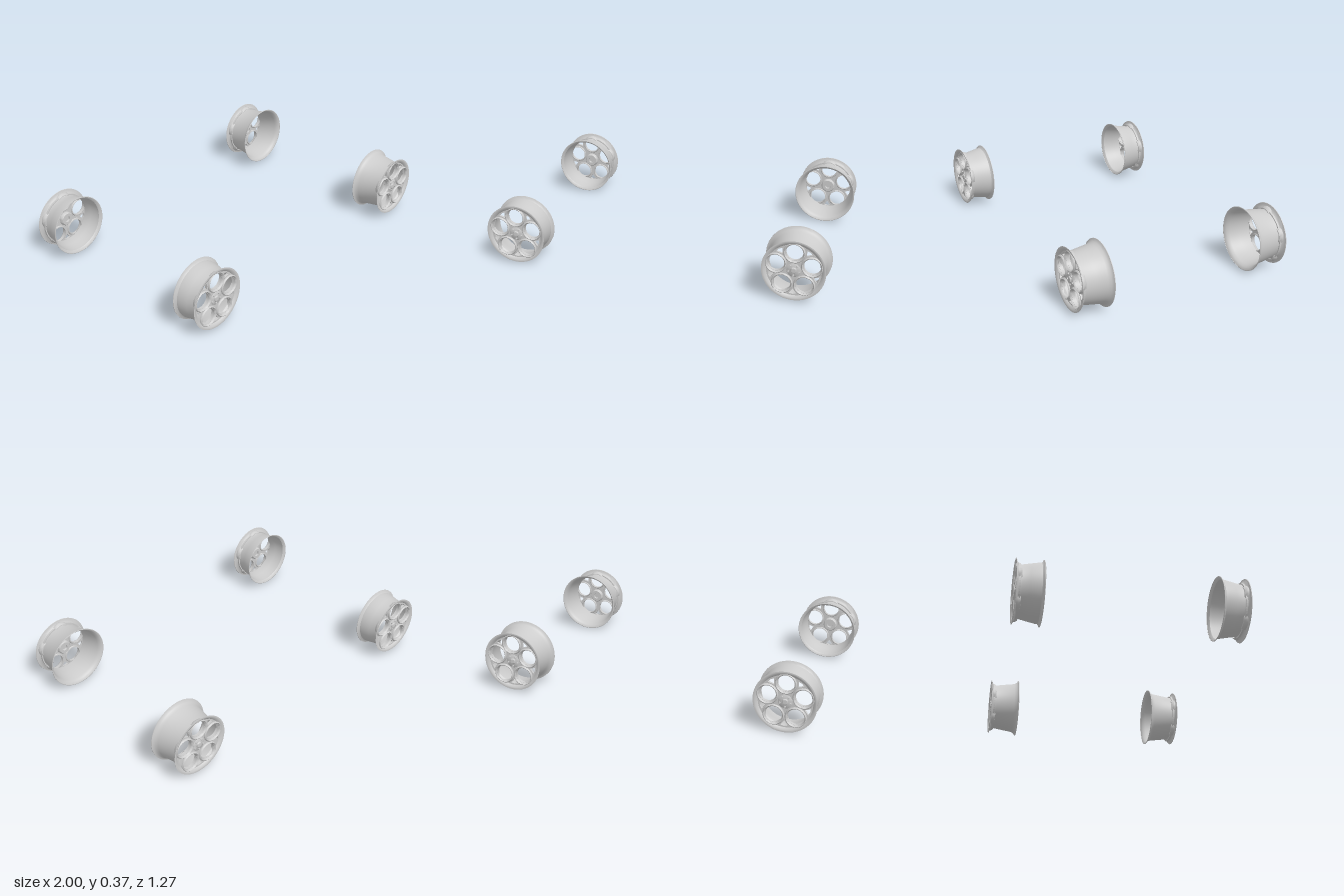
import * as THREE from 'three';
import { toCreasedNormals } from 'three/addons/utils/BufferGeometryUtils.js';

const grey = new THREE.MeshStandardMaterial({ color: 0xcccccc, side: THREE.DoubleSide });
const SPOKES = 5;
const STEP = (Math.PI * 2) / SPOKES;
const HOLE_RING = 0.105; // distance of the round windows from the axle

function part(name, geometry, x = 0, y = 0, z = 0) {
  const mesh = new THREE.Mesh(geometry, grey);
  mesh.name = name;
  mesh.position.set(x, y, z);
  return mesh;
}

// Turn a [radius, z] profile around the z axis
function turned(profile, segments) {
  const points = profile.map(([r, z]) => new THREE.Vector2(r, z));
  const geometry = new THREE.LatheGeometry(points, segments).rotateX(Math.PI / 2);
  return toCreasedNormals(geometry, 0.7);
}

// Point at a given radius and sideways offset along a spoke direction
function polar(angle, radius, side = 0) {
  const c = Math.cos(angle), s = Math.sin(angle);
  return new THREE.Vector2(c * radius - s * side, s * radius + c * side);
}

// Face plate with round windows and small triangular ones between them
function faceGeometry() {
  const shape = new THREE.Shape().absarc(0, 0, 0.153, 0, Math.PI * 2);
  for (let i = 0; i < SPOKES; i++) {
    const a = Math.PI / 2 + i * STEP;
    const c = polar(a, HOLE_RING);
    // the plate is cut flush with the rim where a window reaches past it
    shape.holes.push(new THREE.Path().absarc(c.x, c.y, 0.047, 0, Math.PI * 2, true));
    const b = a + STEP / 2;
    shape.holes.push(new THREE.Path([
      polar(b, 0.113), polar(b, 0.141, -0.021), polar(b, 0.146), polar(b, 0.141, 0.021),
    ]));
  }
  return new THREE.ExtrudeGeometry(shape, { depth: 0.014, bevelEnabled: false, curveSegments: 32 });
}

// One wheel: outer lip at z = 0, barrel running back to z = -depth
function createWheel(depth, innerRadius) {
  const wheel = new THREE.Group();
  const d = -depth;

  wheel.add(part('barrel', turned([
    [innerRadius - 0.003, d - 0.001], [innerRadius, d], [innerRadius, d + 0.003],
    [innerRadius - 0.008, d + 0.006], [innerRadius - 0.016, d + 0.014],
    [0.163, d + 0.03], [0.154, d * 0.5], [0.145, -0.032], [0.146, -0.026],
  ], 64)));
  wheel.add(part('outerLip', turned([
    [0.146, -0.026], [0.151, -0.017], [0.158, -0.01], [0.168, -0.005],
    [0.177, -0.003], [0.178, 0], [0.174, 0.001], [0.166, -0.002], [0.155, -0.008], [0.15, -0.018],
  ], 64)));
  wheel.add(part('face', faceGeometry(), 0, 0, -0.026));

  // Rounded collars around the windows
  const collar = turned([
    [0.047, -0.032], [0.052, -0.031], [0.058, -0.021], [0.061, -0.011],
    [0.059, -0.005], [0.055, -0.002], [0.051, -0.005], [0.048, -0.012], [0.047, -0.032],
  ], 36);
  const bolt = new THREE.CylinderGeometry(0.005, 0.006, 0.012, 10).rotateX(Math.PI / 2);
  for (let i = 0; i < SPOKES; i++) {
    const a = Math.PI / 2 + i * STEP;
    const c = polar(a, HOLE_RING);
    wheel.add(part('windowCollar', collar, c.x, c.y, 0));
    const b = polar(a + STEP / 2, 0.031);
    wheel.add(part('wheelBolt', bolt, b.x, b.y, -0.009));
  }

  // Hub boss behind the face and its centre cap
  wheel.add(part('hub', turned([
    [0.016, -0.034], [0.018, -0.046], [0.036, -0.046], [0.041, -0.04],
    [0.043, -0.014], [0.038, -0.01], [0, -0.01],
  ], 32)));
  wheel.add(part('centreCap', turned([
    [0, -0.034], [0.017, -0.034], [0.017, -0.008], [0.014, -0.003], [0.008, -0.001], [0, 0],
  ], 24)));
  return wheel;
}

export function createModel() {
  const model = new THREE.Group();
  // The wheels on the +x side are a little larger and deeper
  const axles = [
    { name: 'left', x: 0.813, y: 0.19, depth: 0.181, radius: 0.187 },
    { name: 'right', x: -0.82, y: 0.186, depth: 0.152, radius: 0.18 },
  ];
  for (const axle of axles) {
    for (const [end, dir] of [['Front', 1], ['Back', -1]]) {
      const wheel = createWheel(axle.depth, axle.radius);
      wheel.name = `${axle.name}${end}Wheel`;
      wheel.position.set(axle.x, axle.y, 0.632 * dir);
      wheel.rotation.y = dir > 0 ? 0 : Math.PI;
      model.add(wheel);
    }
  }
  return model;
}
